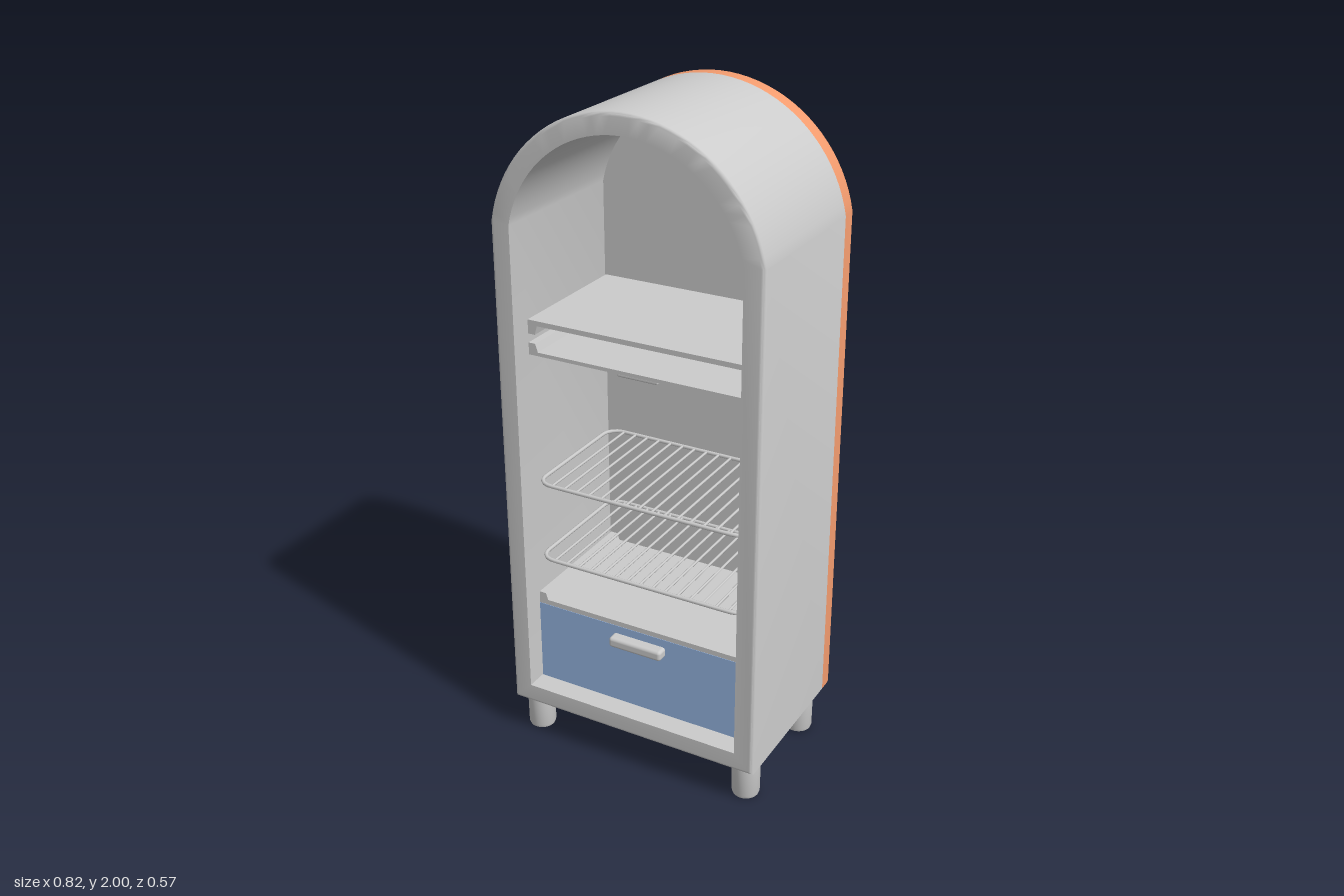
import * as THREE from 'three';
import { toCreasedNormals } from 'three/addons/utils/BufferGeometryUtils.js';
import { RoundedBoxGeometry } from 'three/addons/geometries/RoundedBoxGeometry.js';

const GREY = 0xcccccc, ORANGE = 0xf29b6e, BLUE = 0x95b4e0;
const ARCH_Y = 1.583; // centre height of the arch

// Arched outline, anticlockwise from the front, moved inwards by d
function archRing(d) {
  const w = 0.41 - d, r = 0.417 - d, y0 = 0.12 + d, n = 40;
  const start = Math.acos(w / r);
  const points = [[-w, y0], [w, y0]];
  for (let i = 0; i <= n; i++) {
    const a = start + (Math.PI - 2 * start) * i / n;
    points.push([r * Math.cos(a), ARCH_Y + r * Math.sin(a)]);
  }
  return points;
}

// Skin over [inset, z] steps; an inset of null closes to a centre point
function archLoft(steps) {
  const position = [], index = [];
  const n = archRing(0).length;
  steps.forEach(([d, z], i) => {
    for (const [x, y] of archRing(d ?? 0)) {
      if (d === null) position.push(0, 1, z);
      else position.push(x, y, z);
    }
    if (i === 0) return;
    for (let j = 0; j < n; j++) {
      const k = (j + 1) % n, a = (i - 1) * n, b = i * n;
      if (steps[i - 1][0] !== null) index.push(a + j, a + k, b + k);
      if (d !== null) index.push(a + j, b + k, b + j);
    }
  });
  const geometry = new THREE.BufferGeometry();
  geometry.setAttribute('position', new THREE.Float32BufferAttribute(position, 3));
  geometry.setIndex(index);
  return toCreasedNormals(geometry, 0.6);
}

// Quarter-round steps for an edge of radius r; dir is the z direction of the edge
function roundEdge(r, z, dir, n) {
  return Array.from({ length: n + 1 }, (_, i) => {
    const a = i / n * Math.PI / 2;
    return [r * (1 - Math.cos(a)), z - dir * r * (1 - Math.sin(a))];
  });
}

// Sheet with a raised rail on each side, extruded front to back
function railShelfGeometry(height, floor, depth) {
  const w = 0.347, half = [[w, 0], [w, height], [w - 0.022, height], [w - 0.03, floor]];
  const points = [...half, ...half.map(([x, y]) => [-x, y]).reverse()];
  const shape = new THREE.Shape(points.map(([x, y]) => new THREE.Vector2(x, y)));
  return new THREE.ExtrudeGeometry(shape, { depth, bevelEnabled: false }).translate(0, 0, -depth / 2);
}

// Closed rounded rectangle lying flat
function roundedLoop(w, d, r) {
  const points = [];
  for (let c = 0; c < 4; c++) {
    const sx = c === 0 || c === 3 ? 1 : -1, sz = c < 2 ? 1 : -1;
    for (let i = 0; i <= 5; i++) {
      const a = (c + i / 5) * Math.PI / 2;
      points.push(new THREE.Vector3(sx * (w - r) + r * Math.cos(a), 0, sz * (d - r) + r * Math.sin(a)));
    }
  }
  const path = new THREE.CurvePath();
  points.forEach((p, i) => path.add(new THREE.LineCurve3(p, points[(i + 1) % points.length])));
  return path;
}

export function createModel() {
  const model = new THREE.Group();
  model.name = 'openCabinet';
  const grey = new THREE.MeshStandardMaterial({ color: GREY });
  const orange = new THREE.MeshStandardMaterial({ color: ORANGE });
  const blue = new THREE.MeshStandardMaterial({ color: BLUE });

  function add(name, geometry, material, x = 0, y = 0, z = 0, parent = model) {
    const mesh = new THREE.Mesh(geometry, material);
    mesh.name = name;
    mesh.position.set(x, y, z);
    parent.add(mesh);
    return mesh;
  }

  // Shell: outer skin, rounded front lip, inner walls and inner back
  add('cabinetShell', archLoft([
    [0, -0.21], ...roundEdge(0.012, 0.285, 1, 4), [0.06, 0.285], [0.06, -0.2], [null, -0.2],
  ]), grey);

  // Back panel with a rounded rear edge
  add('backPanel', archLoft([
    [null, -0.285], ...roundEdge(0.036, -0.285, -1, 6).reverse(), [0, -0.21], [null, -0.21],
  ]), orange);

  // Shelves run from the inner back to just behind the opening
  const depth = 0.42, midZ = 0.01;
  const cover = add('upperCoverShelf', railShelfGeometry(0.042, 0.015, depth), grey, 0, 1.365, midZ);
  cover.rotation.z = Math.PI;
  add('upperTray', railShelfGeometry(0.036, 0.011, depth), grey, 0, 1.26, midZ);
  add('upperTrayHandle', new RoundedBoxGeometry(0.13, 0.012, 0.03, 2, 0.005), grey, 0, 1.255, 0.2);
  add('drawerCover', railShelfGeometry(0.038, 0.016, depth), grey, 0, 0.445, midZ);

  // Wire racks: a bent frame with bars running front to back
  const frame = new THREE.TubeGeometry(roundedLoop(0.341, 0.208, 0.045), 120, 0.006, 8, true);
  const bar = new THREE.CylinderGeometry(0.004, 0.004, 0.412, 8).rotateX(Math.PI / 2);
  for (const y of [0.605, 0.855]) {
    const rack = new THREE.Group();
    rack.name = 'wireRack';
    rack.position.set(0, y, midZ);
    add('rackFrame', frame, grey, 0, 0, 0, rack);
    const bars = 15;
    for (let i = 0; i < bars; i++) {
      add('rackBar', bar, grey, -0.29 + 0.58 * i / (bars - 1), 0, 0, rack);
    }
    model.add(rack);
  }

  // Drawer
  add('drawer', new THREE.BoxGeometry(0.696, 0.263, 0.415), blue, 0, 0.3125, 0.0125);
  add('drawerHandle', new RoundedBoxGeometry(0.175, 0.033, 0.045, 3, 0.01), grey, 0, 0.402, 0.23);

  // Rounded pan under the floor
  add('underPan', new RoundedBoxGeometry(0.61, 0.14, 0.285, 5, 0.04), grey, 0, 0.1, 0.038);

  // Feet with a softened lower edge
  const footProfile = [[0, 0], [0.034, 0], [0.039, 0.003], [0.042, 0.012], [0.043, 0.125]]
    .map(([x, y]) => new THREE.Vector2(x, y));
  const foot = toCreasedNormals(new THREE.LatheGeometry(footProfile, 24), 0.7);
  for (const x of [-0.358, 0.358]) {
    for (const z of [-0.153, 0.217]) add('foot', foot, grey, x, 0, z);
  }

  return model;
}
